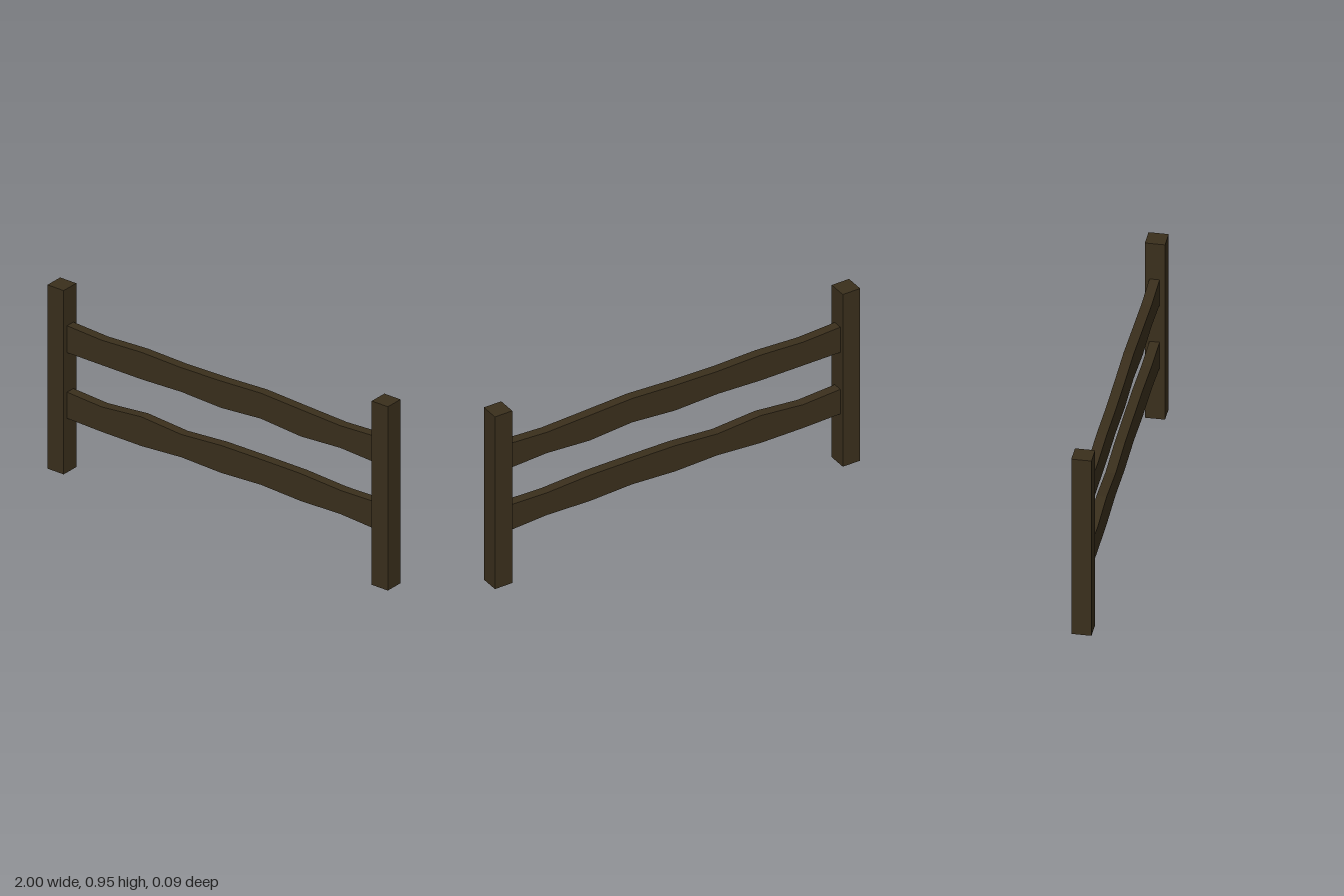
import * as THREE from 'three';

const wood = new THREE.MeshStandardMaterial({ color: 0x3a2f1c, flatShading: true });
const HALF = 0.935; // rails end inside the posts

// Rough-hewn rail: a segmented box whose top and bottom edges follow measured heights
function makeRail(name, tops, bottoms, y) {
  const n = tops.length - 1;
  const geo = new THREE.BoxGeometry(2 * HALF, 1, 0.048, n, 1, 1);
  const p = geo.attributes.position;
  for (let i = 0; i < p.count; i++) {
    const k = Math.round((p.getX(i) / HALF + 1) * n / 2);
    p.setY(i, p.getY(i) > 0 ? tops[k] : bottoms[k]);
  }
  geo.translate(0, -y, -0.002);
  geo.computeVertexNormals();
  const rail = new THREE.Mesh(geo, wood);
  rail.name = name;
  rail.position.y = y;
  return rail;
}

export function createModel() {
  const fence = new THREE.Group();
  fence.name = 'fence';

  // Square end posts
  for (const [name, side] of [['leftPost', 1], ['rightPost', -1]]) {
    const post = new THREE.Mesh(new THREE.BoxGeometry(0.095, 0.953, 0.095), wood);
    post.name = name;
    post.position.set(side * 0.9525, 0.4765, 0);
    fence.add(post);
  }

  // Two wavy rails, heights listed from -x to +x
  fence.add(makeRail('upperRail',
    [0.762, 0.75, 0.761, 0.755, 0.76, 0.771, 0.76, 0.75, 0.761],
    [0.621, 0.621, 0.621, 0.63, 0.621, 0.639, 0.621, 0.635, 0.622], 0.69));
  fence.add(makeRail('lowerRail',
    [0.418, 0.404, 0.426, 0.409, 0.426, 0.428, 0.428, 0.415, 0.42],
    [0.281, 0.275, 0.275, 0.291, 0.284, 0.296, 0.286, 0.292, 0.277], 0.35));

  return fence;
}
